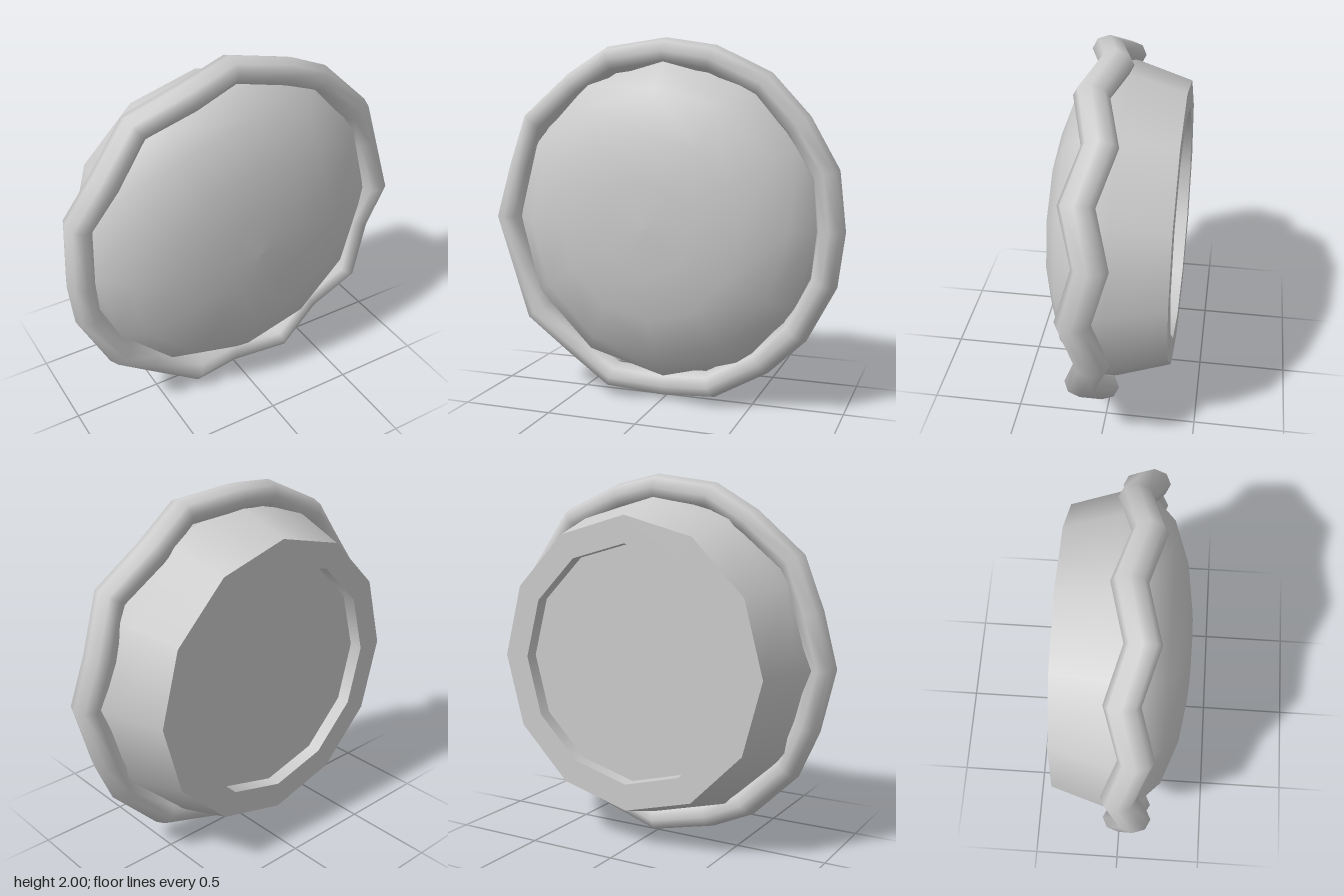
import * as THREE from 'three';
import { mergeVertices } from 'three/addons/utils/BufferGeometryUtils.js';

const material = new THREE.MeshStandardMaterial({ color: 0xcccccc });

// Twelve-sided turned surface around the z axis; profile points are [radius, z]
function turned(name, profile) {
  const geometry = new THREE.LatheGeometry(profile.map(([r, z]) => new THREE.Vector2(r, z)), 12);
  geometry.rotateX(Math.PI / 2);
  const mesh = new THREE.Mesh(geometry, material);
  mesh.name = name;
  return mesh;
}

// Wavy rim: a torus whose sections step back and forth along z
function wavyRim() {
  const radius = 0.925, steps = 20;
  let geometry = new THREE.TorusGeometry(radius, 0.09, 8, steps);
  const p = geometry.attributes.position;
  for (let i = 0; i < p.count; i++) {
    const x = p.getX(i), y = p.getY(i), r = Math.hypot(x, y);
    const step = Math.round(Math.atan2(y, x) / (2 * Math.PI) * steps);
    const k = (radius + (r - radius) * 0.075 / 0.09) / r;
    p.setXYZ(i, x * k, y * k, p.getZ(i) + (step % 2 === 0 ? 0.09 : 0.01));
  }
  // Weld the seams so the shading stays smooth all round
  geometry.deleteAttribute('uv');
  geometry.deleteAttribute('normal');
  geometry = mergeVertices(geometry, 1e-4);
  geometry.computeVertexNormals();
  const mesh = new THREE.Mesh(geometry, material);
  mesh.name = 'wavyRim';
  return mesh;
}

export function createModel() {
  const group = new THREE.Group();
  group.name = 'crimpedCap';
  const back = -0.35, floor = -0.275;

  // Recessed back
  group.add(turned('recessFloor', [[0, floor], [0.64, floor]]));
  group.add(turned('recessWall', [[0.64, floor], [0.64, back]]));
  group.add(turned('backLip', [[0.64, back], [0.785, back]]));

  // Tapered side and domed front
  group.add(turned('taperedSide', [[0.785, back], [0.875, -0.06], [0.89, 0.02]]));
  group.add(turned('dome', [[0.89, 0.02], [0.86, 0.09], [0.73, 0.22], [0.5, 0.305], [0.25, 0.343], [0, 0.35]]));

  group.add(wavyRim());

  // Stand the cap upright on the ground
  group.children.forEach((part) => { part.position.y = 1; });
  return group;
}
